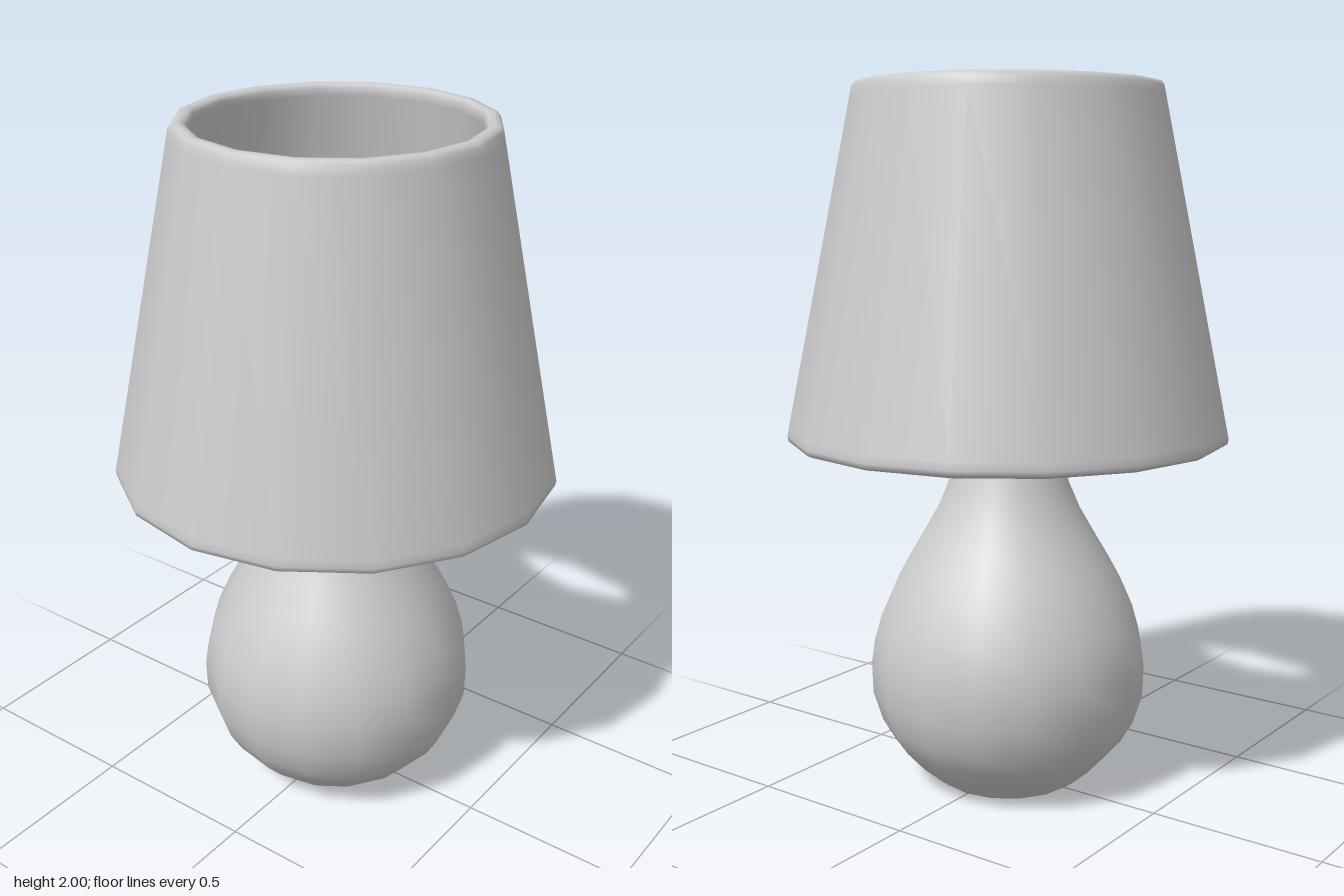
import * as THREE from 'three';

const material = new THREE.MeshStandardMaterial({ color: 0xcccccc });

function addPart(group, name, geometry, y = 0) {
  const mesh = new THREE.Mesh(geometry, material);
  mesh.name = name;
  mesh.position.y = y;
  group.add(mesh);
  return mesh;
}

// Revolve [radius, height] pairs around the vertical axis
function revolve(profile, sides = 16) {
  return new THREE.LatheGeometry(profile.map(([r, y]) => new THREE.Vector2(r, y)), sides);
}

export function createModel() {
  const lamp = new THREE.Group();
  lamp.name = 'tableLamp';

  // Pear-shaped body with a flat foot and a narrow neck
  addPart(lamp, 'base', revolve([
    [0, 0], [0.19, 0], [0.205, 0.003], [0.225, 0.018], [0.28, 0.065], [0.335, 0.125],
    [0.37, 0.185], [0.397, 0.27], [0.4, 0.36], [0.39, 0.43], [0.37, 0.5],
    [0.335, 0.58], [0.3, 0.645], [0.25, 0.73], [0.21, 0.8], [0.178, 0.875],
    [0.155, 0.95], [0.142, 1.0], [0.132, 1.035], [0.122, 1.055], [0.1, 1.065], [0, 1.065],
  ]));

  // Thick tapered shade: a closed section with rounded rims
  addPart(lamp, 'shade', revolve([
    [0.59, 1.012], [0.61, 1.01], [0.622, 1.016], [0.625, 1.03], [0.621, 1.05],
    [0.434, 1.965], [0.43, 1.985], [0.422, 1.997], [0.408, 2.0], [0.392, 1.997],
    [0.384, 1.985], [0.388, 1.965], [0.575, 1.05], [0.578, 1.03], [0.59, 1.012],
  ]));

  // Socket on top of the neck
  addPart(lamp, 'socket', new THREE.CylinderGeometry(0.107, 0.107, 0.12, 16), 1.12);

  // Bulb
  const bulb = addPart(lamp, 'bulb', new THREE.SphereGeometry(0.12, 10, 8), 1.27);
  bulb.rotation.y = Math.PI / 2;

  // Crossbar reaching from the socket to the shade on both sides
  const bar = addPart(lamp, 'crossbar', new THREE.CylinderGeometry(0.025, 0.025, 1.12, 8), 1.1);
  bar.rotation.z = Math.PI / 2;

  return lamp;
}
